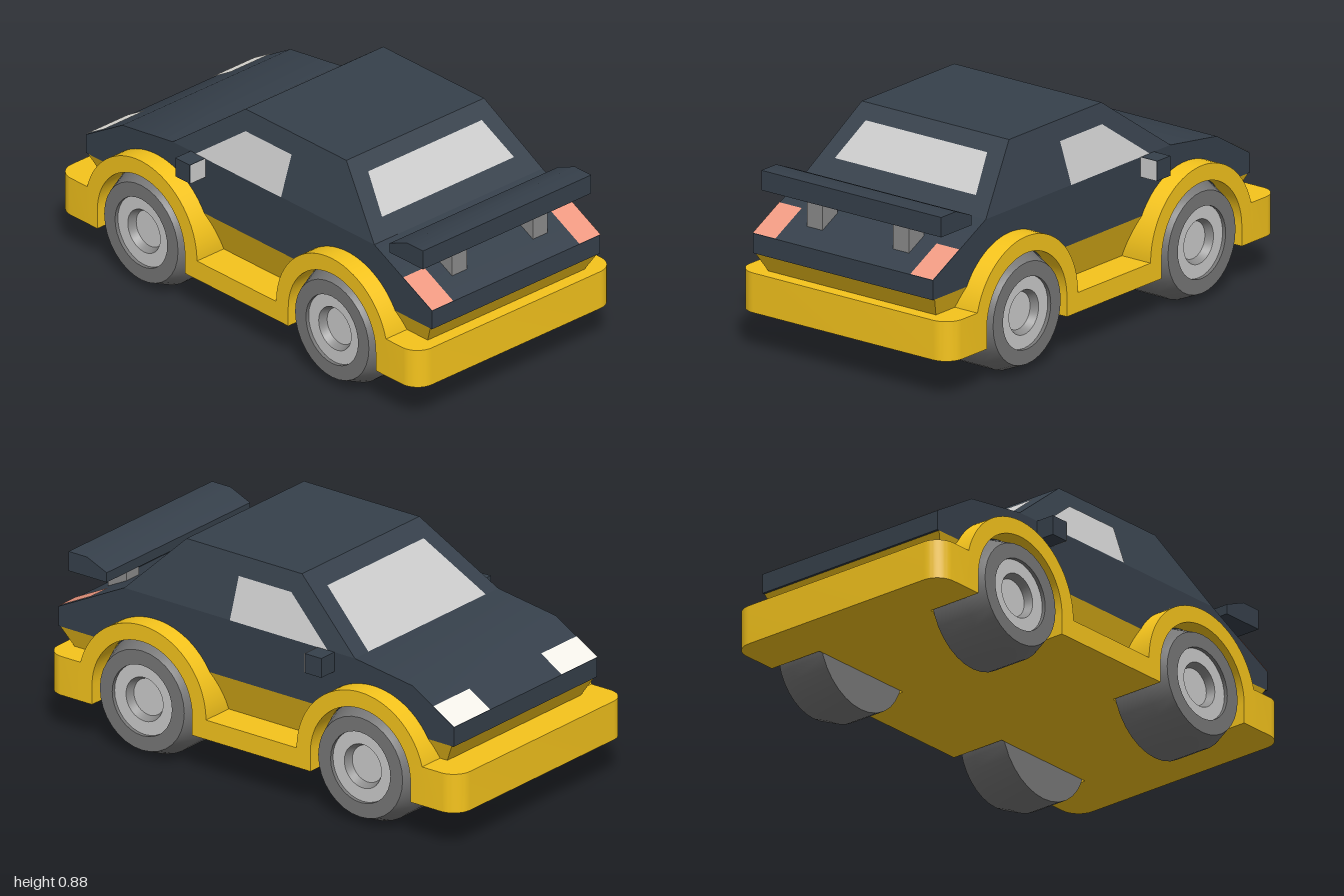
import * as THREE from 'three';
import { toCreasedNormals } from 'three/addons/utils/BufferGeometryUtils.js';
import { ConvexGeometry } from 'three/addons/geometries/ConvexGeometry.js';

const mat = (color, side = THREE.FrontSide) => new THREE.MeshStandardMaterial({ color, side });
const YELLOW = mat(0xf5c41c), DARK = mat(0x36404b), TYRE = mat(0x777777), STRUT = mat(0x8c8c8c);
const GREY = mat(0xcccccc), GLASS = mat(0xcccccc, THREE.DoubleSide);
const WHITE = mat(0xf5f3ec, THREE.DoubleSide), RED = mat(0xf09a82, THREE.DoubleSide);

const WHEEL_Z = 0.53, WHEEL_R = 0.24;

export function createModel() {
  const car = new THREE.Group();
  car.name = 'car';

  const add = (name, geometry, material, parent = car) => {
    const mesh = new THREE.Mesh(geometry, material);
    mesh.name = name;
    parent.add(mesh);
    return mesh;
  };
  // Box given by its limits on each axis
  const box = (name, material, [x0, x1], [y0, y1], [z0, z1]) =>
    add(name, new THREE.BoxGeometry(x1 - x0, y1 - y0, z1 - z0), material)
      .position.set((x0 + x1) / 2, (y0 + y1) / 2, (z0 + z1) / 2);
  // Side profile (drawn with -z to the right) extruded across x
  const acrossX = (shape, x0, x1) => {
    const g = new THREE.ExtrudeGeometry(shape, { depth: x1 - x0, bevelEnabled: false, curveSegments: 24 });
    return toCreasedNormals(g.rotateY(Math.PI / 2).translate(x0, 0, 0), 0.5);
  };
  const profile = (points) => new THREE.Shape(points.map(([z, y]) => new THREE.Vector2(-z, y)));
  // Solid between two rectangles at different heights: [half width, y, rear z, front z]
  const frustum = (...levels) => new ConvexGeometry(levels.flatMap(([x, y, z0, z1]) =>
    [[x, z0], [-x, z0], [x, z1], [-x, z1]].map(([px, pz]) => new THREE.Vector3(px, y, pz))));
  // Thin four-cornered panel lifted slightly off the surface below it
  const panel = (name, material, corners, out) => {
    const g = new THREE.BufferGeometry();
    const lift = new THREE.Vector3(...out).setLength(0.003).toArray();
    g.setAttribute('position', new THREE.Float32BufferAttribute(
      corners.flatMap((c) => c.map((v, i) => v + lift[i])), 3));
    // Order the corners so that the normal points outward
    const [a, b, c] = corners.map((p) => new THREE.Vector3(...p));
    const turn = b.clone().sub(a).cross(c.clone().sub(a)).dot(new THREE.Vector3(...out));
    g.setIndex(turn > 0 ? [0, 1, 2, 0, 2, 3] : [0, 2, 1, 0, 3, 2]);
    g.computeVertexNormals();
    add(name, g, material);
  };

  // Upper body, cabin and the skirt that narrows towards the floor
  add('body', acrossX(profile([[1, 0.4], [-0.92, 0.4], [-0.92, 0.48], [-0.72, 0.6],
    [-0.44, 0.64], [0.68, 0.64], [1, 0.48]]), -0.44, 0.44), DARK);
  add('cabin', frustum([0.44, 0.64, 0.68, -0.44], [0.36, 0.88, 0.44, -0.12]), DARK);
  add('skirt', frustum([0.44, 0.4, 0.99, -0.91], [0.38, 0.24, 0.9, -0.82]), YELLOW);

  // Floor and sills
  box('floor', YELLOW, [-0.28, 0.28], [0.16, 0.24], [-0.78, 0.78]);
  box('sills', YELLOW, [-0.52, 0.52], [0.16, 0.24], [-0.225, 0.225]);

  // Bumpers with rounded outer corners
  const r = 0.08, plan = new THREE.Shape();
  plan.moveTo(-0.52, 0.775);
  plan.lineTo(0.52, 0.775);
  plan.lineTo(0.52, 1 - r);
  plan.absarc(0.52 - r, 1 - r, r, 0, Math.PI / 2, false);
  plan.lineTo(-0.52 + r, 1);
  plan.absarc(-0.52 + r, 1 - r, r, Math.PI / 2, Math.PI, false);
  const bumper = toCreasedNormals(
    new THREE.ExtrudeGeometry(plan, { depth: 0.16, bevelEnabled: false, curveSegments: 8 })
      .rotateX(-Math.PI / 2).translate(0, 0.16, 0), 0.5);
  add('frontBumper', bumper, YELLOW);
  add('rearBumper', bumper, YELLOW).rotation.y = Math.PI;

  // Wheel profiles as [radius, distance from the inner side]
  const lathe = (points) => toCreasedNormals(
    new THREE.LatheGeometry(points.map((p) => new THREE.Vector2(...p)), 32).rotateZ(-Math.PI / 2), 0.5);
  const tyre = lathe([[0, 0], [WHEEL_R, 0], [WHEEL_R, 0.16], [0.205, 0.24], [0.145, 0.24], [0.145, 0.22]]);
  const rim = lathe([[0.146, 0.225], [0.09, 0.225]]);
  const recess = lathe([[0.09, 0.225], [0.075, 0.195]]);
  const hub = lathe([[0.075, 0.195], [0, 0.195]]);

  for (const z of [WHEEL_Z, -WHEEL_Z]) {
    // Arch: half ring with straight legs down to the floor
    const arch = new THREE.Shape(), c = -z, ro = 0.31, ri = 0.243;
    arch.moveTo(c - ro, 0.16);
    arch.lineTo(c - ro, WHEEL_R);
    arch.absarc(c, WHEEL_R, ro, Math.PI, 0, true);
    arch.lineTo(c + ro, 0.16);
    arch.lineTo(c + ri, 0.16);
    arch.lineTo(c + ri, WHEEL_R);
    arch.absarc(c, WHEEL_R, ri, 0, Math.PI, false);
    arch.lineTo(c - ri, 0.16);
    for (const s of [1, -1]) {
      add('wheelArch', acrossX(arch, s > 0 ? 0.28 : -0.52, s > 0 ? 0.52 : -0.28), YELLOW);
      const wheel = new THREE.Group();
      wheel.name = 'wheel';
      wheel.position.set(s * 0.28, WHEEL_R, z);
      wheel.rotation.y = s > 0 ? 0 : Math.PI;
      add('tyre', tyre, TYRE, wheel);
      add('rim', rim, GREY, wheel);
      add('rimRecess', recess, STRUT, wheel);
      add('hub', hub, GREY, wheel);
      car.add(wheel);
    }
  }

  // Windscreen and rear window
  panel('windscreen', GLASS, [[-0.36, 0.64, -0.44], [0.36, 0.64, -0.44],
    [0.295, 0.8275, -0.19], [-0.295, 0.8275, -0.19]], [0, 0.32, -0.24]);
  panel('rearWindow', GLASS, [[-0.345, 0.7, 0.62], [0.345, 0.7, 0.62],
    [0.297, 0.828, 0.492], [-0.297, 0.828, 0.492]], [0, 1, 1]);

  for (const s of [1, -1]) {
    const span = (a, b) => [Math.min(s * a, s * b), Math.max(s * a, s * b)];
    // Side window follows the lean of the cabin side
    panel('sideWindow', GLASS, [[0.165, 0.64], [0.165, 0.805], [-0.09, 0.805], [-0.31, 0.64]]
      .map(([z, y]) => [s * (0.44 - (y - 0.64) / 3), y, z]), [s * 3, 1, 0]);
    // Lamps on the sloping nose and tail
    panel('headlight', WHITE, [[s * 0.22, 0.48, -0.92], [s * 0.44, 0.48, -0.92],
      [s * 0.44, 0.54, -0.82], [s * 0.22, 0.54, -0.82]], [0, 0.2, -0.12]);
    panel('tailLight', RED, [[s * 0.33, 0.48, 1], [s * 0.44, 0.48, 1],
      [s * 0.44, 0.56, 0.84], [s * 0.33, 0.56, 0.84]], [0, 0.32, 0.16]);
    // Mirror housing with its glass facing the rear
    box('mirrorHousing', DARK, span(0.4, 0.52), [0.56, 0.64], [-0.34, -0.26]);
    panel('mirrorGlass', GLASS, [[s * 0.44, 0.56, -0.26], [s * 0.52, 0.56, -0.26],
      [s * 0.52, 0.64, -0.26], [s * 0.44, 0.64, -0.26]], [0, 0, 1]);
    box('spoilerStrut', STRUT, span(0.173, 0.25), [0.52, 0.65], [0.82, 0.91]);
  }

  // Spoiler wing
  add('spoiler', acrossX(profile([[0.95, 0.64], [0.765, 0.64], [0.765, 0.68],
    [0.86, 0.72], [0.95, 0.72]]), -0.44, 0.44), DARK);

  return car;
}
